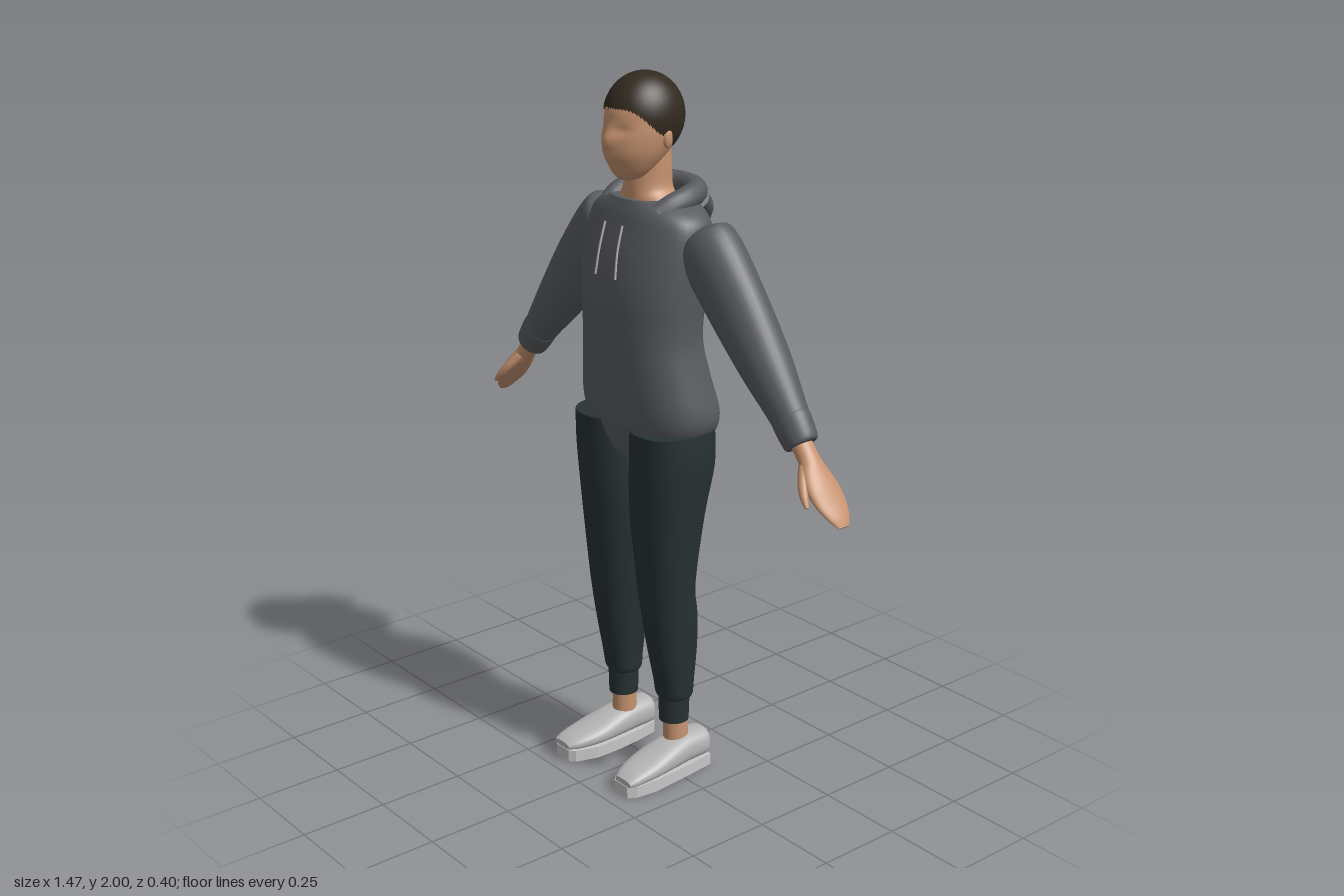
import * as THREE from 'three';

const mat = (name, color, side = THREE.FrontSide) => {
  const m = new THREE.MeshStandardMaterial({ color, side });
  m.name = name;
  return m;
};

// Smoothly interpolates a list of stations, each a short row of numbers
function smooth(rows, sub) {
  if (sub < 2) return rows;
  const out = [], at = i => rows[Math.min(Math.max(i, 0), rows.length - 1)];
  for (let i = 0; i < rows.length - 1; i++) {
    for (let k = 0; k < sub; k++) {
      const t = k / sub;
      out.push(rows[i].map((p1, c) => {
        const p0 = at(i - 1)[c], p2 = at(i + 1)[c], p3 = at(i + 2)[c];
        return p1 + 0.5 * t * (p2 - p0 + t * (2 * p0 - 5 * p1 + 4 * p2 - p3 + t * (3 * (p1 - p2) + p3 - p0)));
      }));
    }
  }
  out.push(rows[rows.length - 1]);
  return out;
}

// Skins rings [x, y, z, halfWidth, halfDepth]; upright rings stay level and run upwards, others follow the path
function loft(stations, { sub = 5, seg = 32, n = 2, upright = true } = {}) {
  const rows = smooth(stations, sub), pos = [], index = [];
  const pw = v => Math.sign(v) * Math.pow(Math.abs(v), 2 / n);
  rows.forEach(([x, y, z, a, b], i) => {
    const p = rows[Math.max(i - 1, 0)], q = rows[Math.min(i + 1, rows.length - 1)];
    const t = upright ? new THREE.Vector2(0, 1) : new THREE.Vector2(q[0] - p[0], q[1] - p[1]).normalize();
    for (let j = 0; j < seg; j++) {
      const th = j / seg * Math.PI * 2, u = a * pw(Math.cos(th)), w = b * pw(Math.sin(th));
      pos.push(x + t.y * u, y - t.x * u, z + w);
    }
  });
  for (let i = 0; i < rows.length - 1; i++) {
    for (let j = 0; j < seg; j++) {
      const k = (j + 1) % seg, o = i * seg, v = o + seg;
      index.push(o + j, v + j, o + k, o + k, v + j, v + k);
    }
  }
  // End caps on their own vertices, so the rim stays sharp
  [0, rows.length - 1].forEach((i, end) => {
    const c = pos.length / 3;
    pos.push(rows[i][0], rows[i][1], rows[i][2]);
    for (let j = 0; j < seg * 3; j++) pos.push(pos[i * seg * 3 + j]);
    for (let j = 0; j < seg; j++) {
      const p = c + 1 + j, q = c + 1 + (j + 1) % seg;
      if (end) index.push(c, q, p); else index.push(c, p, q);
    }
  });
  const g = new THREE.BufferGeometry();
  g.setAttribute('position', new THREE.Float32BufferAttribute(pos, 3));
  g.setIndex(index);
  g.computeVertexNormals();
  return g;
}

const tube = (pts, r) => new THREE.TubeGeometry(
  new THREE.CatmullRomCurve3(pts.map(p => new THREE.Vector3(...p))), 40, r, 14);

export function createModel() {
  const skin = mat('skin', 0xc6926f), hair = mat('hair', 0x322a1f, THREE.DoubleSide);
  const hoodie = mat('hoodie grey', 0x595b5f), pants = mat('dark trousers', 0x273231);
  const shoe = mat('shoe grey', 0xb6b6b6), soleMat = mat('sole grey', 0xc6c6c6), cord = mat('cord', 0xb4b4b4);

  const model = new THREE.Group();
  model.name = 'person';
  const body = new THREE.Group(), arms = new THREE.Group();
  body.name = 'body';
  arms.name = 'arms';
  body.position.x = -0.008;
  model.add(body, arms);
  const add = (name, geo, m, parent = body) => {
    const mesh = new THREE.Mesh(geo, m);
    mesh.name = name;
    parent.add(mesh);
    return mesh;
  };

  // Hooded top
  add('torso', loft([
    [0, 0.95, -0.01, 0.04, 0.085], [0, 0.985, -0.022, 0.15, 0.113], [0, 1.04, -0.024, 0.208, 0.131],
    [0, 1.1, -0.019, 0.226, 0.137], [0, 1.2, -0.002, 0.207, 0.13], [0, 1.3, 0.01, 0.191, 0.125],
    [0, 1.42, 0.007, 0.2, 0.127], [0, 1.52, -0.007, 0.208, 0.124], [0, 1.6, -0.018, 0.205, 0.112],
    [0, 1.64, -0.02, 0.18, 0.102], [0, 1.67, -0.02, 0.12, 0.09]], { n: 2.35, seg: 48 }), hoodie);
  add('hoodCollar', tube([[0.1, 1.635, 0.04], [0.112, 1.66, 0], [0.114, 1.674, -0.045], [0.09, 1.683, -0.1],
    [0, 1.686, -0.13], [-0.09, 1.683, -0.1], [-0.114, 1.674, -0.045], [-0.112, 1.66, 0], [-0.1, 1.635, 0.04]], 0.032), hoodie);
  add('hoodPouch', tube([[0.1, 1.665, -0.1], [0.075, 1.635, -0.138], [0.03, 1.595, -0.162], [0, 1.583, -0.17],
    [-0.03, 1.595, -0.162], [-0.075, 1.635, -0.138], [-0.1, 1.665, -0.1]], 0.029), hoodie);
  for (const s of [1, -1]) {
    add('drawstring', tube([[s * 0.036, 1.61, 0.106], [s * 0.038, 1.54, 0.125], [s * 0.042, 1.47, 0.136]], 0.003), cord);
  }

  // Neck and head
  add('neck', loft([[0, 1.64, -0.015, 0.1, 0.075], [0, 1.674, -0.012, 0.085, 0.068],
    [0, 1.7, -0.01, 0.066, 0.066], [0, 1.76, -0.01, 0.063, 0.064], [0, 1.83, -0.005, 0.063, 0.062]]), skin);
  const head = loft([
    [0, 1.721, 0.055, 0.018, 0.018], [0, 1.73, 0.05, 0.038, 0.04], [0, 1.755, 0.042, 0.06, 0.064],
    [0, 1.795, 0.03, 0.081, 0.092], [0, 1.84, 0.015, 0.092, 0.108], [0, 1.88, 0.008, 0.093, 0.107],
    [0, 1.91, 0.005, 0.091, 0.103], [0, 1.95, 0.003, 0.076, 0.084], [0, 1.98, 0.003, 0.045, 0.05]], { seg: 48, sub: 6 });
  // Nose, eye sockets and mouth pushed into the face
  const hp = head.attributes.position;
  const bump = (x, y, cx, cy, sx, sy) => Math.exp(-(((x - cx) / sx) ** 2) - ((y - cy) / sy) ** 2);
  for (let i = 0; i < hp.count; i++) {
    const x = hp.getX(i), y = hp.getY(i), z = hp.getZ(i);
    if (z > 0.05) {
      hp.setZ(i, z + 0.013 * bump(x, y, 0, 1.83, 0.02, 0.026)
        - 0.007 * bump(Math.abs(x), y, 0.038, 1.858, 0.022, 0.014) + 0.005 * bump(x, y, 0, 1.785, 0.028, 0.014));
    }
  }
  head.computeVertexNormals();
  add('head', head, skin);
  for (const s of [1, -1]) {
    const ear = add('ear', new THREE.SphereGeometry(1, 16, 12), skin);
    ear.scale.set(0.01, 0.027, 0.015);
    ear.position.set(s * 0.09, 1.835, -0.002);
  }

  // Hair: a dome whose lower edge follows the hairline
  const dome = new THREE.SphereGeometry(1, 64, 28), dp = dome.attributes.position, dn = dome.attributes.normal;
  const R = [0.1, 0.115, 0.113], cols = 65, v = new THREE.Vector3();
  for (let i = 0; i < dp.count; i++) {
    const phi = (i % cols) / 64 * Math.PI * 2, row = Math.floor(i / cols) / 28, f = Math.cos(phi);
    const line = 1.84 + 0.07 * THREE.MathUtils.smoothstep(f, 0.05, 0.95) - 0.045 * THREE.MathUtils.smoothstep(-f, 0.1, 0.6);
    const th = row * Math.acos((line - 1.885) / R[1]);
    v.set(Math.sin(th) * Math.sin(phi), Math.cos(th), Math.sin(th) * f);
    dp.setXYZ(i, v.x * R[0], 1.885 + v.y * R[1], 0.003 + v.z * R[2]);
    v.set(v.x / R[0], v.y / R[1], v.z / R[2]).normalize();
    dn.setXYZ(i, v.x, v.y, v.z);
  }
  add('hair', dome, hair);

  for (const s of [1, -1]) {
    const side = rows => rows.map(([x, ...rest]) => [s * x, ...rest]);

    // Arm, cuff and hand
    const path = { upright: false };
    add('sleeve', loft(side([[0.178, 1.59, -0.036, 0.05, 0.04], [0.191, 1.577, -0.036, 0.081, 0.066],
      [0.224, 1.545, -0.037, 0.095, 0.077], [0.325, 1.428, -0.037, 0.091, 0.073], [0.43, 1.303, -0.038, 0.075, 0.067],
      [0.5, 1.222, -0.036, 0.06, 0.055], [0.55, 1.163, -0.034, 0.05, 0.046]]), path), hoodie, arms);
    add('sleeveCuff', loft(side([[0.53, 1.187, -0.034, 0.052, 0.046], [0.54, 1.175, -0.034, 0.055, 0.049],
      [0.573, 1.133, -0.033, 0.05, 0.045], [0.58, 1.124, -0.033, 0.043, 0.04]]), path), hoodie, arms);
    add('hand', loft(side([[0.565, 1.14, -0.033, 0.026, 0.03], [0.605, 1.093, -0.033, 0.025, 0.031],
      [0.63, 1.063, -0.03, 0.024, 0.043], [0.66, 1.03, -0.031, 0.021, 0.052], [0.69, 0.995, -0.034, 0.016, 0.049],
      [0.715, 0.968, -0.036, 0.011, 0.036], [0.733, 0.946, -0.038, 0.005, 0.019]]), path), skin, arms);
    add('thumb', loft(side([[0.607, 1.085, -0.012, 0.013, 0.014], [0.632, 1.05, 0.012, 0.014, 0.016],
      [0.655, 1.02, 0.028, 0.011, 0.012], [0.674, 0.997, 0.035, 0.005, 0.006]]), { ...path, seg: 16 }), skin, arms);

    // Leg, cuff and ankle
    add('trouserLeg', loft(side([[0.115, 0.238, -0.012, 0.044, 0.042], [0.115, 0.25, -0.012, 0.054, 0.049],
      [0.115, 0.3, -0.01, 0.057, 0.056], [0.113, 0.4, -0.005, 0.065, 0.071], [0.112, 0.5, 0.004, 0.074, 0.077],
      [0.11, 0.6, 0.015, 0.082, 0.077], [0.109, 0.8, 0.011, 0.1, 0.099], [0.117, 0.95, 0.001, 0.107, 0.117],
      [0.12, 1.05, 0.003, 0.103, 0.117]]), { n: 2.3 }), pants);
    add('trouserCuff', loft(side([[0.115, 0.165, -0.012, 0.042, 0.043], [0.115, 0.25, -0.012, 0.045, 0.045]]),
      { sub: 1 }), pants);
    add('ankle', loft(side([[0.118, 0.08, -0.018, 0.034, 0.038], [0.116, 0.18, -0.016, 0.032, 0.036]]), { sub: 1 }), skin);

    // Shoe upper, skinned from heel to toe and then laid flat
    const upper = loft(side([[0.125, -0.11, -0.07, 0.03, 0.034], [0.125, -0.1, -0.072, 0.045, 0.042],
      [0.125, -0.03, -0.073, 0.051, 0.043], [0.127, 0.03, -0.067, 0.056, 0.038], [0.13, 0.1, -0.057, 0.058, 0.028],
      [0.137, 0.165, -0.048, 0.048, 0.019], [0.143, 0.198, -0.042, 0.034, 0.01]]), { n: 2.6 });
    add('shoeUpper', upper.rotateX(Math.PI / 2), shoe);

    // Sole from its footprint
    const outline = [[0.09, -0.11], [0.078, -0.05], [0.07, 0.05], [0.071, 0.12], [0.092, 0.185], [0.108, 0.2],
      [0.165, 0.2], [0.18, 0.175], [0.187, 0.11], [0.178, 0], [0.165, -0.11]];
    const shape = new THREE.Shape(outline.map(([x, z]) => new THREE.Vector2(s * x, -z)));
    add('shoeSole', new THREE.ExtrudeGeometry(shape, { depth: 0.035, bevelEnabled: false }).rotateX(-Math.PI / 2), soleMat);
  }
  return model;
}
